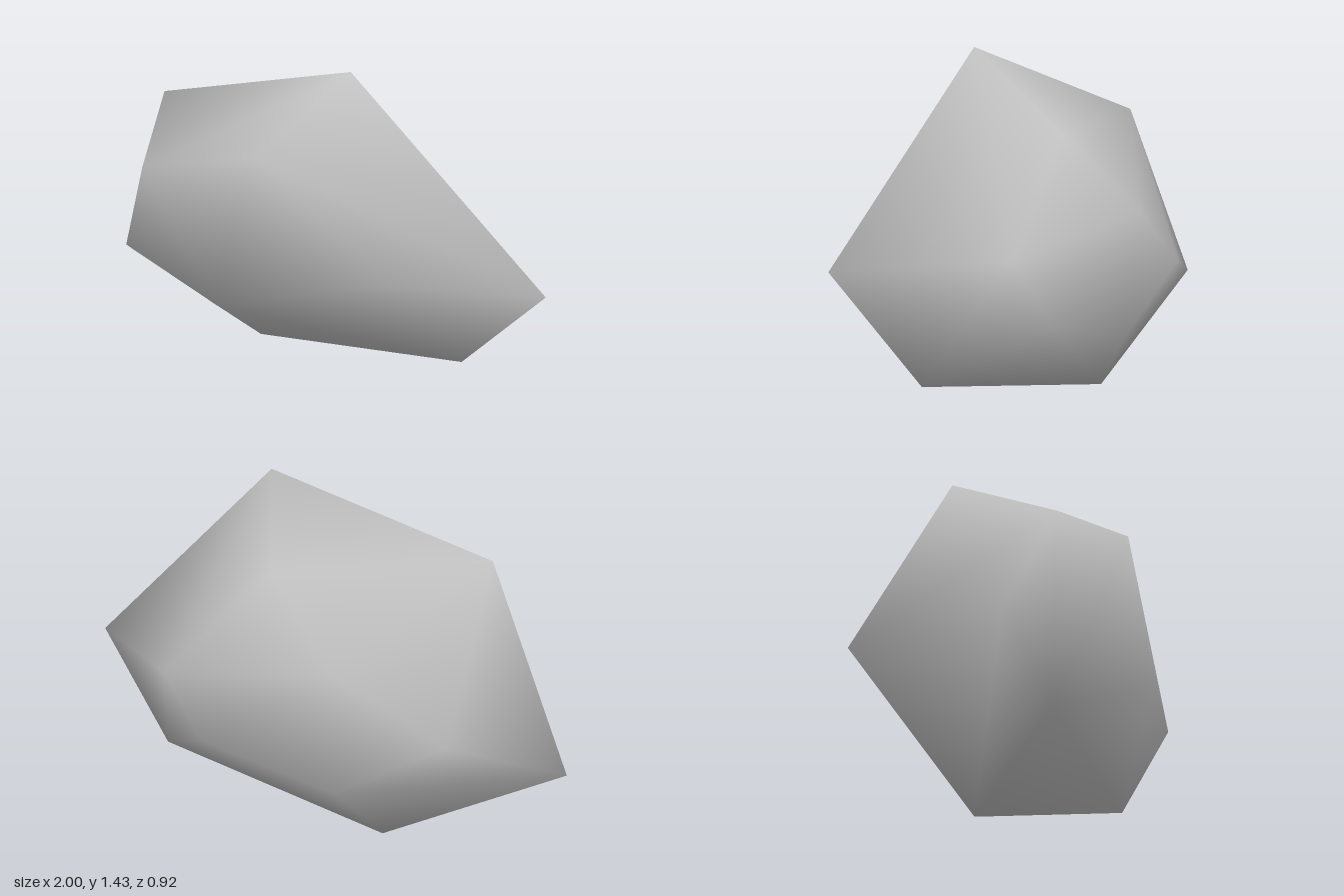
import * as THREE from 'three';
import { ConvexGeometry } from 'three/addons/geometries/ConvexGeometry.js';
import { mergeVertices } from 'three/addons/utils/BufferGeometryUtils.js';

// Outer rim of the rock: six corners around its widest section
const rim = [
  [0.26, 1.43, 0.05], [-0.64, 1.16, 0.13], [-1, 0.38, 0.09],
  [-0.31, 0, -0.06], [0.67, 0.24, -0.19], [1, 0.7, -0.16],
];

// Five corners of the broad front face
const frontFace = [
  [-0.42, 1.0, 0.46], [-0.63, 0.56, 0.41], [-0.25, 0.35, 0.27],
  [0.51, 0.7, 0.15], [0.09, 1.16, 0.37],
];

// Six corners of the broad, slightly bulging back face
const backFace = [
  [0.08, 1.11, -0.25], [0.46, 0.71, -0.45], [0.29, 0.46, -0.46],
  [-0.21, 0.28, -0.3], [-0.62, 0.53, -0.2], [-0.24, 0.79, -0.35],
];

// Smooth normals: each face counts by its angle at the corner
function angleWeightedNormals(geometry) {
  const position = geometry.attributes.position;
  const index = geometry.index.array;
  const point = (i) => new THREE.Vector3().fromBufferAttribute(position, i);
  const normals = Array.from({ length: position.count }, () => new THREE.Vector3());
  for (let f = 0; f < index.length; f += 3) {
    for (let k = 0; k < 3; k++) {
      const corner = index[f + k];
      const a = point(index[f + (k + 1) % 3]).sub(point(corner));
      const b = point(index[f + (k + 2) % 3]).sub(point(corner));
      const faceNormal = a.clone().cross(b).normalize();
      normals[corner].addScaledVector(faceNormal, a.angleTo(b));
    }
  }
  const values = normals.flatMap((n) => n.normalize().toArray());
  geometry.setAttribute('normal', new THREE.Float32BufferAttribute(values, 3));
}

// Closed hull around the corners, shaded smooth
function smoothHull(corners) {
  const hull = new ConvexGeometry(corners.map((p) => new THREE.Vector3(...p)));
  hull.deleteAttribute('normal');
  const geometry = mergeVertices(hull, 1e-4);
  angleWeightedNormals(geometry);
  return geometry;
}

export function createModel() {
  const stone = new THREE.MeshStandardMaterial({ color: 0xc4c4c4 });
  stone.name = 'stone grey';

  const rock = new THREE.Mesh(smoothHull([...rim, ...frontFace, ...backFace]), stone);
  rock.name = 'rock';

  const model = new THREE.Group();
  model.name = 'boulder';
  model.add(rock);
  return model;
}
